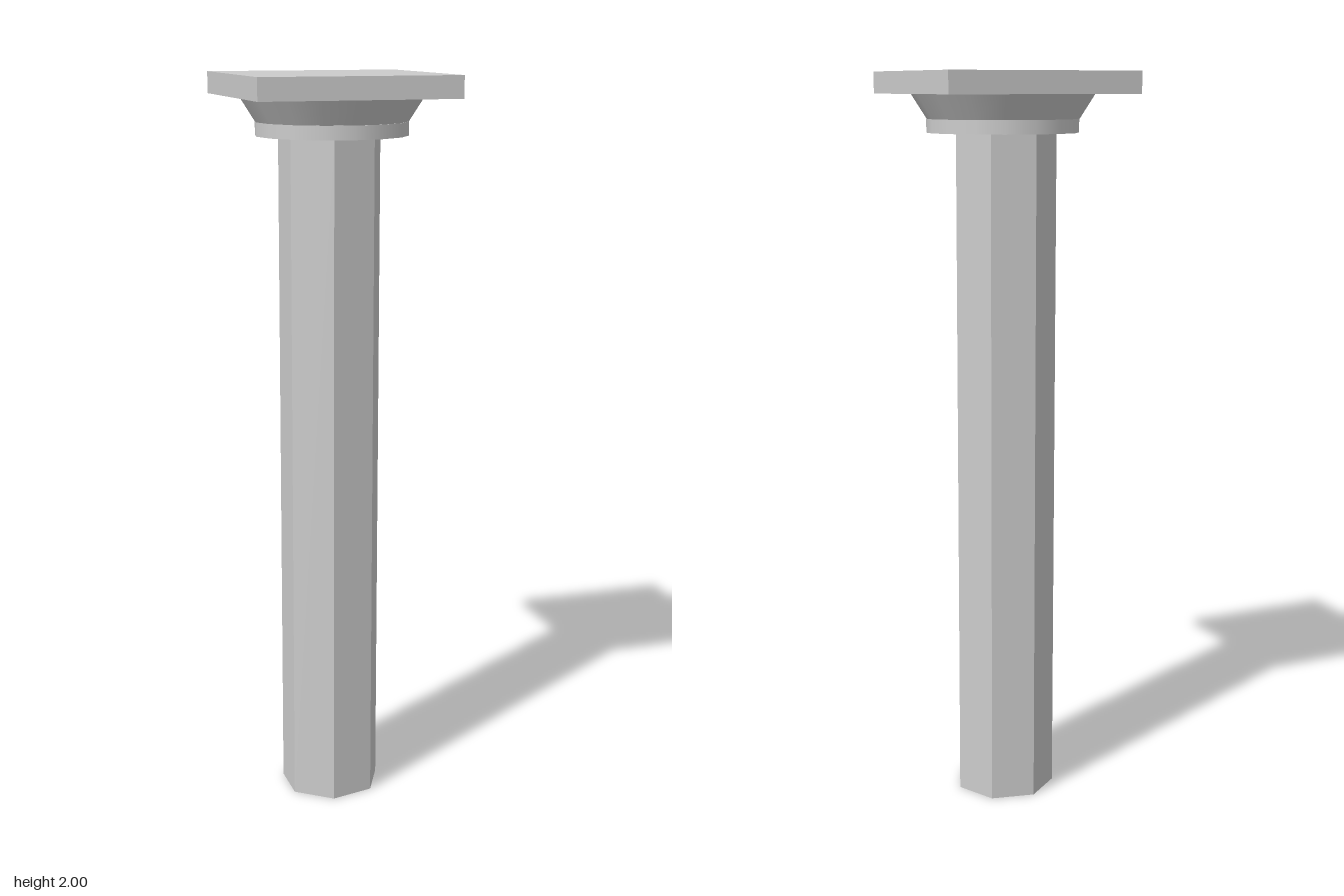
import * as THREE from 'three';

const DEPTH = 0.974; // the column is slightly shallower than wide

// Upright round or faceted section between heights y0 and y1, with a corner on +x
function section(name, rTop, rBottom, y0, y1, sides, x, z, open, flat) {
  const geometry = new THREE.CylinderGeometry(rTop, rBottom, y1 - y0, sides, 1, open);
  geometry.rotateY(Math.PI / 2 - Math.PI * 2);
  geometry.scale(1, 1, DEPTH);
  const material = new THREE.MeshStandardMaterial({
    color: 0xcccccc,
    flatShading: flat,
    side: open ? THREE.DoubleSide : THREE.FrontSide,
  });
  const mesh = new THREE.Mesh(geometry, material);
  mesh.name = name;
  mesh.position.set(x, (y0 + y1) / 2, z);
  return mesh;
}

export function createModel() {
  const column = new THREE.Group();
  column.name = 'column';

  // Seven-sided hollow shaft, open at the foot
  column.add(section('shaft', 0.139, 0.139, 0, 1.842, 7, -0.004, 0.007, true, true));

  // Round capital: neck ring with a flared echinus above it
  const capital = new THREE.Group();
  capital.name = 'capital';
  capital.add(section('neckRing', 0.203, 0.203, 1.842, 1.878, 16, 0, 0.007, false, false));
  capital.add(section('echinus', 0.244, 0.203, 1.878, 1.942, 16, 0, 0.004, false, false));
  column.add(capital);

  // Square slab on top
  const abacus = new THREE.Mesh(
    new THREE.BoxGeometry(0.535, 0.058, 0.52),
    new THREE.MeshStandardMaterial({ color: 0xcccccc })
  );
  abacus.name = 'abacus';
  abacus.position.y = 1.971;
  column.add(abacus);

  return column;
}
